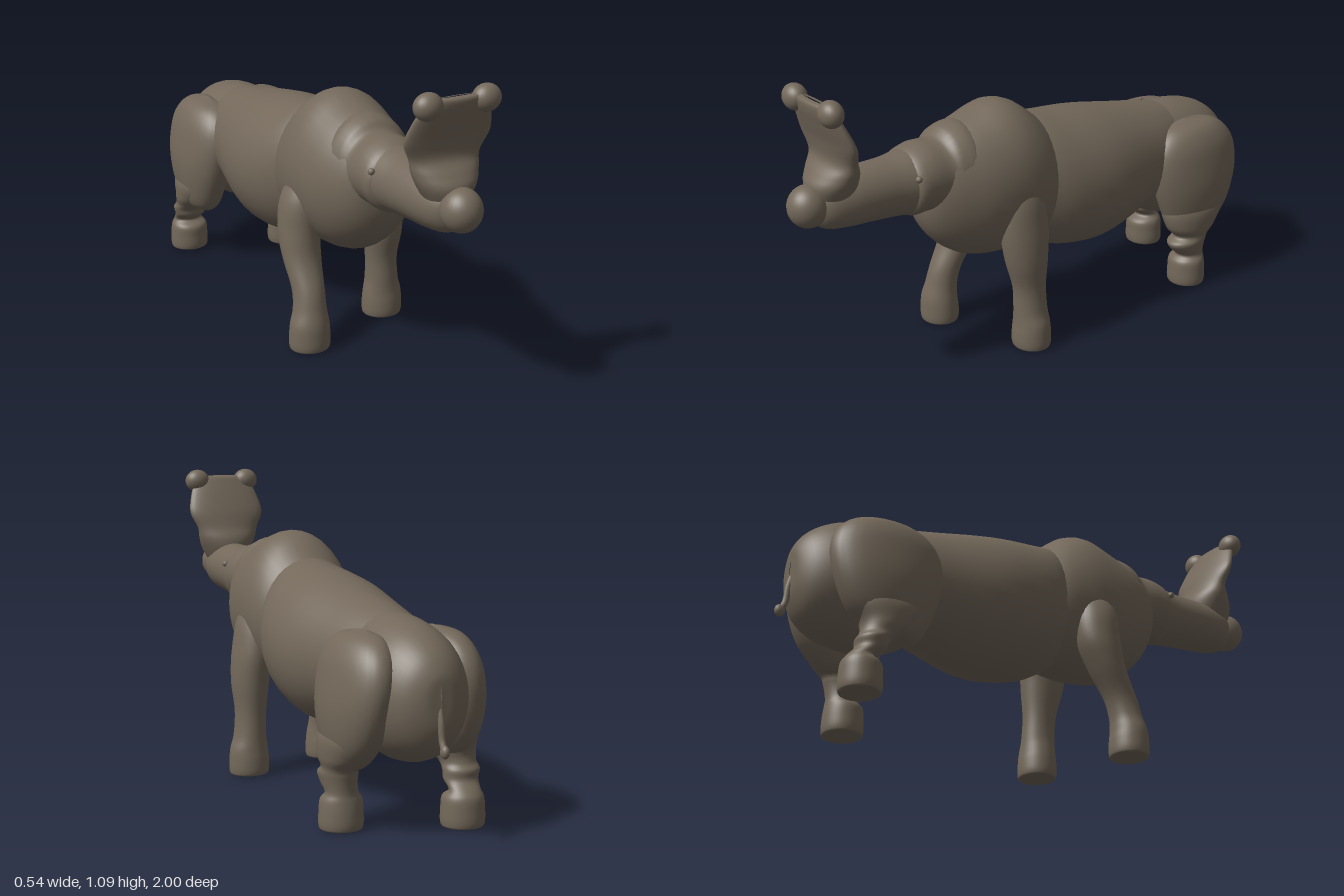
import * as THREE from 'three';

const hide = new THREE.MeshStandardMaterial({ color: 0x73685a });
hide.name = 'greyBrownHide';

function add(parent, name, geometry) {
  const mesh = new THREE.Mesh(geometry, hide);
  mesh.name = name;
  parent.add(mesh);
  return mesh;
}

// Smooth skin over elliptical rings [x, y, z, halfWidth, halfDepth], listed in rising order along the axis
function loft(rings, axis, steps = 5, sides = 36) {
  const path = new THREE.CatmullRomCurve3(rings.map(r => new THREE.Vector3(r[0], r[1], r[2])), false, 'catmullrom');
  const size = new THREE.CatmullRomCurve3(rings.map(r => new THREE.Vector3(r[3], r[4], 0)), false, 'catmullrom');
  const rows = (rings.length - 1) * steps;
  const pos = [], index = [];
  for (let i = 0; i <= rows; i++) {
    const p = path.getPoint(i / rows), s = size.getPoint(i / rows);
    const a = Math.max(s.x, 0.0005), b = Math.max(s.y, 0.0005);
    for (let j = 0; j < sides; j++) {
      const t = j / sides * Math.PI * 2, c = Math.cos(t), n = Math.sin(t);
      if (axis === 'z') pos.push(p.x + c * a, p.y + n * b, p.z);
      else pos.push(p.x + n * a, p.y, p.z + c * b);
    }
  }
  for (let i = 0; i < rows; i++) {
    for (let j = 0; j < sides; j++) {
      const k = (j + 1) % sides, A = i * sides, B = A + sides;
      index.push(A + j, A + k, B + k, A + j, B + k, B + j);
    }
  }
  const g = new THREE.BufferGeometry();
  g.setAttribute('position', new THREE.Float32BufferAttribute(pos, 3));
  g.setIndex(index);
  g.computeVertexNormals();
  return g;
}

// Body section from [z, top, bottom, halfWidth]
const trunk = list => loft(list.map(([z, t, b, w]) => [0, (t + b) / 2, z, w, (t - b) / 2]), 'z');

// Limb section from [y, x, zBack, zFront, halfWidth], mirrored by side
const limb = (side, list) => loft(list.map(([y, x, z0, z1, w]) => [side * x, y, (z0 + z1) / 2, w, (z1 - z0) / 2]), 'y');

// Flat-soled foot shared by all legs: rings from the sole up to the ankle
const foot = (x, z0, z1) => [
  [0, x, z0 + 0.065, z1 - 0.065, 0.002], [0.001, x, z0 + 0.012, z1 - 0.012, 0.062],
  [0.015, x, z0, z1, 0.074], [0.06, x, z0, z1, 0.074], [0.1, x, z0 + 0.004, z1 - 0.004, 0.07],
];

export function createModel() {
  const model = new THREE.Group();
  model.name = 'hornedBeast';

  // Trunk: overlapping masses leave soft creases between them
  add(model, 'barrel', trunk([
    [-0.78, 0.62, 0.45, 0.002], [-0.75, 0.67, 0.38, 0.1], [-0.6, 0.705, 0.34, 0.165], [-0.45, 0.735, 0.3, 0.2],
    [-0.25, 0.775, 0.255, 0.238], [-0.08, 0.797, 0.275, 0.225], [0.03, 0.81, 0.325, 0.185],
    [0.12, 0.78, 0.4, 0.12], [0.16, 0.65, 0.55, 0.002],
  ]));
  add(model, 'chestAndHump', trunk([
    [-0.09, 0.68, 0.5, 0.002], [-0.05, 0.76, 0.4, 0.13], [0.02, 0.82, 0.35, 0.185], [0.1, 0.88, 0.335, 0.205],
    [0.18, 0.898, 0.332, 0.21], [0.28, 0.87, 0.345, 0.2], [0.36, 0.845, 0.375, 0.178],
    [0.44, 0.815, 0.44, 0.14], [0.49, 0.77, 0.52, 0.09], [0.51, 0.66, 0.62, 0.002],
  ]));
  add(model, 'rump', trunk([
    [-0.957, 0.5, 0.42, 0.002], [-0.95, 0.55, 0.36, 0.06], [-0.91, 0.61, 0.29, 0.12], [-0.83, 0.662, 0.245, 0.165],
    [-0.72, 0.692, 0.23, 0.18], [-0.6, 0.7, 0.25, 0.17], [-0.5, 0.69, 0.31, 0.14], [-0.44, 0.6, 0.4, 0.002],
  ]));

  // Neck folds and long head
  add(model, 'neckFold', trunk([
    [0.24, 0.8, 0.6, 0.05], [0.32, 0.857, 0.5, 0.15], [0.39, 0.85, 0.53, 0.145],
    [0.43, 0.82, 0.56, 0.13], [0.5, 0.82, 0.575, 0.128], [0.56, 0.8, 0.575, 0.12], [0.585, 0.76, 0.6, 0.07], [0.59, 0.7, 0.66, 0.002],
  ]));
  add(model, 'head', trunk([
    [0.42, 0.78, 0.6, 0.1], [0.52, 0.805, 0.577, 0.115], [0.62, 0.797, 0.588, 0.104], [0.72, 0.797, 0.598, 0.1],
    [0.8, 0.795, 0.604, 0.095], [0.87, 0.785, 0.615, 0.08], [0.91, 0.765, 0.64, 0.05], [0.925, 0.72, 0.68, 0.002],
  ]));
  const nose = add(model, 'nose', new THREE.SphereGeometry(0.07, 32, 24));
  nose.position.set(0, 0.71, 0.93);
  nose.scale.set(0.98, 1.04, 1);

  // Flaring upright horn plate with a knob on each corner
  add(model, 'hornPlate', loft([
    [0, 0.7, 0.84, 0.06, 0.07], [0, 0.77, 0.84, 0.1, 0.085], [0, 0.815, 0.83, 0.118, 0.072],
    [0, 0.86, 0.825, 0.128, 0.046], [0, 0.92, 0.838, 0.155, 0.039], [0, 0.98, 0.86, 0.145, 0.035],
    [0, 1.03, 0.88, 0.125, 0.03], [0, 1.06, 0.89, 0.1, 0.022], [0, 1.067, 0.892, 0.06, 0.003],
  ], 'y'));

  for (const side of [1, -1]) {
    const name = side > 0 ? 'left' : 'right';
    const knob = add(model, name + 'HornKnob', new THREE.SphereGeometry(0.045, 24, 18));
    knob.position.set(side * 0.105, 1.046, 0.89);
    knob.scale.set(1.1, 1, 0.88);
    const eye = add(model, name + 'Eye', new THREE.SphereGeometry(0.012, 12, 8));
    eye.position.set(side * 0.11, 0.738, 0.568);
    // Thigh
    add(model, name + 'Thigh', limb(side, [
      [0.2, 0.17, -0.7, -0.62, 0.01], [0.23, 0.175, -0.76, -0.57, 0.06], [0.3, 0.175, -0.83, -0.53, 0.085],
      [0.4, 0.17, -0.875, -0.495, 0.1], [0.5, 0.16, -0.89, -0.48, 0.1], [0.58, 0.15, -0.865, -0.5, 0.09],
      [0.635, 0.14, -0.8, -0.56, 0.06], [0.655, 0.13, -0.7, -0.66, 0.002],
    ]));
  }

  // Front legs: left upright, right stepping forward
  add(model, 'leftFrontLeg', limb(1, [
    ...foot(0.186, 0.08, 0.217), [0.15, 0.182, 0.088, 0.212, 0.06], [0.24, 0.178, 0.09, 0.215, 0.058],
    [0.35, 0.175, 0.08, 0.245, 0.069], [0.47, 0.165, 0.07, 0.26, 0.07], [0.6, 0.14, 0.09, 0.25, 0.065], [0.7, 0.1, 0.15, 0.2, 0.01],
  ]));
  add(model, 'rightFrontLeg', limb(-1, [
    ...foot(0.186, 0.215, 0.352), [0.15, 0.182, 0.217, 0.335, 0.06], [0.22, 0.178, 0.195, 0.315, 0.058],
    [0.32, 0.175, 0.135, 0.27, 0.069], [0.42, 0.17, 0.09, 0.255, 0.074], [0.55, 0.15, 0.09, 0.25, 0.07], [0.7, 0.1, 0.15, 0.2, 0.01],
  ]));

  // Hind legs: bulging hock fold above a narrow ankle
  add(model, 'leftHindLeg', limb(1, [
    ...foot(0.188, -0.712, -0.572), [0.125, 0.19, -0.705, -0.595, 0.055], [0.155, 0.193, -0.708, -0.562, 0.058],
    [0.185, 0.195, -0.715, -0.545, 0.062], [0.21, 0.195, -0.725, -0.575, 0.06], [0.25, 0.19, -0.77, -0.54, 0.075],
    [0.33, 0.175, -0.82, -0.53, 0.085], [0.42, 0.16, -0.75, -0.6, 0.03],
  ]));
  add(model, 'rightHindLeg', limb(-1, [
    ...foot(0.188, -0.845, -0.705), [0.125, 0.19, -0.825, -0.74, 0.055], [0.155, 0.193, -0.8, -0.7, 0.06],
    [0.185, 0.197, -0.8, -0.69, 0.064], [0.21, 0.195, -0.785, -0.66, 0.062], [0.25, 0.19, -0.785, -0.61, 0.075],
    [0.33, 0.175, -0.82, -0.54, 0.085], [0.42, 0.16, -0.75, -0.6, 0.03],
  ]));

  // Short tail with a round tuft
  const tailPath = new THREE.CatmullRomCurve3([
    new THREE.Vector3(0, 0.46, -0.94), new THREE.Vector3(0, 0.4, -0.957), new THREE.Vector3(0, 0.34, -0.965), new THREE.Vector3(0, 0.305, -0.982),
  ]);
  add(model, 'tail', new THREE.TubeGeometry(tailPath, 16, 0.011, 12));
  const tuft = add(model, 'tailTuft', new THREE.SphereGeometry(0.018, 16, 12));
  tuft.position.set(0, 0.308, -0.982);
  tuft.scale.set(0.8, 1.2, 1);

  return model;
}
